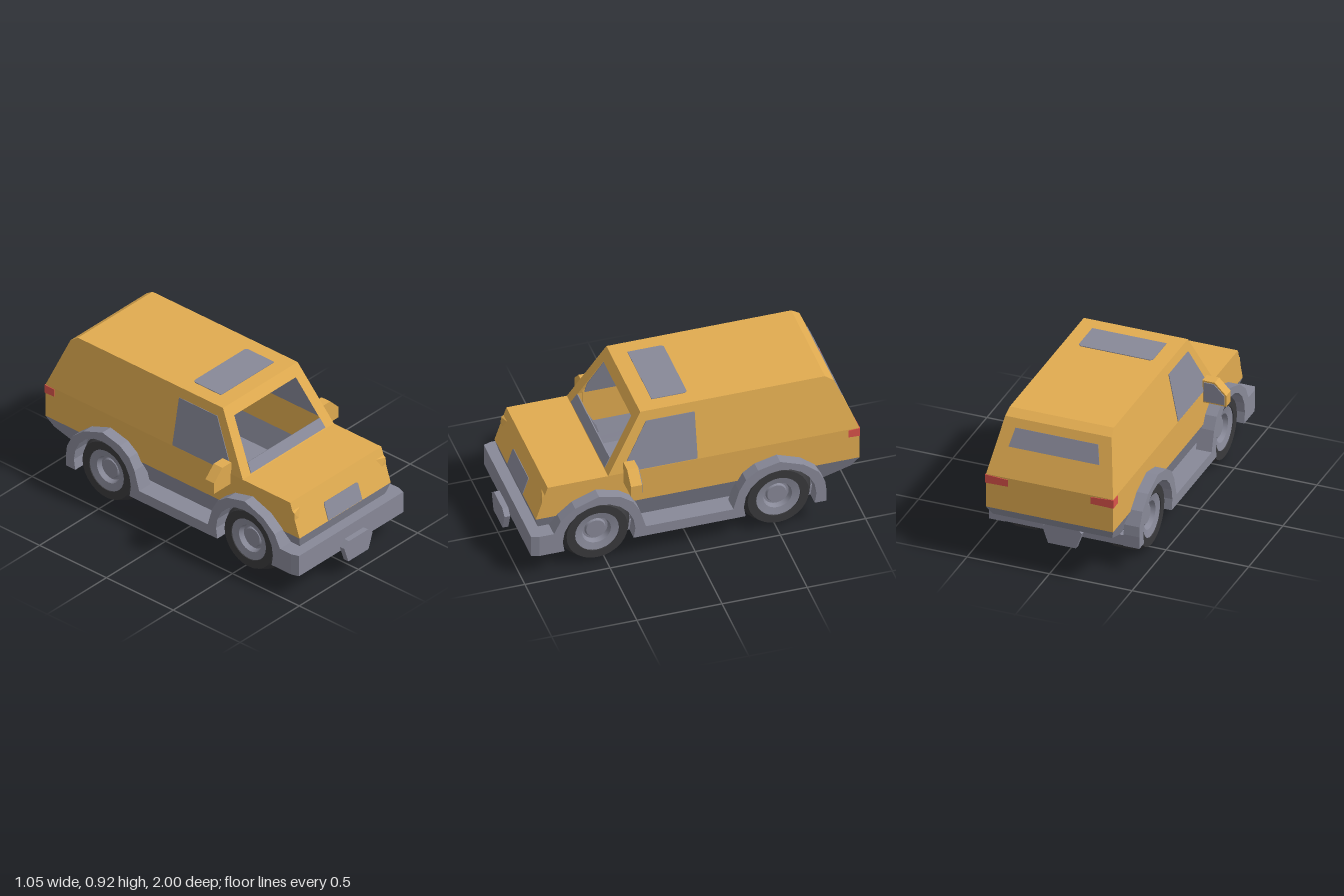
import * as THREE from 'three';
import { toCreasedNormals } from 'three/addons/utils/BufferGeometryUtils.js';
import { ConvexGeometry } from 'three/addons/geometries/ConvexGeometry.js';

const mat = (name, color, side = THREE.FrontSide) => {
  const m = new THREE.MeshStandardMaterial({ color, side });
  m.name = name;
  return m;
};
const V = (x, y, z) => new THREE.Vector3(x, y, z);

// Thin shell from flat convex polygons
function sheet(polys) {
  const pos = [];
  for (const p of polys)
    for (let i = 1; i < p.length - 1; i++)
      for (const v of [p[0], p[i], p[i + 1]]) pos.push(v.x, v.y, v.z);
  const g = new THREE.BufferGeometry();
  g.setAttribute('position', new THREE.Float32BufferAttribute(pos, 3));
  g.computeVertexNormals();
  return g;
}
// Same polygon on the other side, winding kept outward
const flip = (p) => p.map((v) => V(-v.x, v.y, v.z)).reverse();
// Panel spanning the width between two profile points [z, y, halfWidth]
const span = ([z0, y0, w0], [z1, y1, w1]) => [V(-w0, y0, z0), V(w0, y0, z0), V(w1, y1, z1), V(-w1, y1, z1)];

// Thin plate lying on a plane, showing on both faces of the shell
function plate(points) {
  const n = points[1].clone().sub(points[0]).cross(points[2].clone().sub(points[0])).normalize();
  return new ConvexGeometry(points.flatMap((p) => [p.clone().addScaledVector(n, 0.004), p.clone().addScaledVector(n, -0.004)]));
}
const shapeOf = (pts) => new THREE.Shape(pts.map(([x, y]) => new THREE.Vector2(x, y)));
const extrude = (shape, depth) => new THREE.ExtrudeGeometry(shape, { depth, bevelEnabled: false });

export function createModel() {
  const yellow = mat('yellow paint', 0xe0ab50, THREE.DoubleSide);
  const grey = mat('grey trim', 0x888998, THREE.DoubleSide);
  const black = mat('tire rubber', 0x39393c);
  const red = mat('red lamp', 0xd9524a);
  const root = new THREE.Group();
  const add = (name, geo, material, parent = root) => {
    const m = new THREE.Mesh(geo, material);
    m.name = name;
    parent.add(m);
    return m;
  };

  // Plane rules of the shell
  const sideX = (y) => 0.385 - Math.max(0, y - 0.56) * 0.197;
  const shieldZ = (y) => 0.475 - (y - 0.56) * 0.592;
  const noseZ = (y) => 0.9 - (y - 0.35) / 3;
  const onSide = ([z, y]) => V(sideX(y), y, z);

  // Painted body, open at the windshield
  const profile = [[0.9, 0.35], [0.83, 0.56], [0.475, 0.56], [0.265, 0.915], [-0.82, 0.915], [-0.87, 0.88], [-1, 0.56], [-1, 0.35]]
    .map(([z, y]) => [z, y, sideX(y)]);
  const body = [];
  for (let i = 0; i < profile.length - 1; i++) if (i !== 2) body.push(span(profile[i], profile[i + 1]));
  const lowerSide = [0, 7, 6, 1].map((i) => onSide(profile[i]));
  const upperSide = [2, 6, 5, 4, 3].map((i) => onSide(profile[i]));
  for (const p of [lowerSide, upperSide]) body.push(p, flip(p));
  const shield = (x, y) => V(x, y, shieldZ(y));
  const outer = [shield(-0.385, 0.56), shield(0.385, 0.56), shield(0.315, 0.915), shield(-0.315, 0.915)];
  const inner = [shield(-0.305, 0.622), shield(0.305, 0.622), shield(0.26, 0.855), shield(-0.26, 0.855)];
  for (let i = 0; i < 4; i++) {
    const j = (i + 1) % 4;
    body.push([outer[i], outer[j], inner[j], inner[i]]);
  }
  add('body', sheet(body), yellow);

  // Grey lower body, tapering down to the chassis
  const low = [[0.86, 0.21, 0.335], [0.88, 0.28, 0.36], [0.9, 0.35, 0.385], [-1, 0.35, 0.385], [-0.955, 0.285, 0.362], [-0.79, 0.215, 0.337]];
  const lowSide = low.map(([z, y, x]) => V(x, y, z)).reverse();
  add('lowerBody', sheet([
    lowSide, flip(lowSide),
    ...[[0, 1], [1, 2], [3, 4], [4, 5]].map(([a, b]) => span(low[a], low[b])),
  ]), grey);

  // Chassis floor and front bumper
  const floor = add('chassis', new THREE.BoxGeometry(0.75, 0.065, 1.66), grey);
  floor.position.set(0, 0.1775, 0.05);
  const bumperGeo = extrude(shapeOf([[-0.455, -0.78], [-0.455, -0.9], [-0.44, -0.945], [0.44, -0.945], [0.455, -0.9], [0.455, -0.78]]), 0.135);
  bumperGeo.rotateX(-Math.PI / 2);
  add('frontBumper', bumperGeo, grey).position.y = 0.145;

  // Fender and sill outline, with both wheel openings cut from below
  const wheelZ = [0.55, -0.513];
  const arch = [[0.265, 0.07], [0.225, 0.15], [0.14, 0.22], [0, 0.272], [-0.13, 0.24], [-0.2, 0.19], [-0.24, 0.12], [-0.275, 0]];
  const outline = [[0.9, 0.145], [0.9, 0.28]];
  for (const [z, y] of arch) outline.push([wheelZ[0] + z, 0.21 + y]);
  for (const [z, y] of [...arch].reverse()) outline.push([wheelZ[1] - z, 0.21 + y]);
  outline.push([-0.785, 0.22], [-0.785, 0.145]);
  for (const c of [...wheelZ].reverse())
    for (let i = 0; i <= 12; i++) {
      const a = Math.PI + 0.31 - (i / 12) * (Math.PI + 0.62);
      outline.push([c + 0.213 * Math.cos(a), 0.21 + 0.213 * Math.sin(a)]);
    }
  const fenderGeo = extrude(shapeOf(outline), 0.095);
  fenderGeo.rotateY(-Math.PI / 2).scale(1, 1, 1);

  // Wheel profiles as [radius, distance out from the centre line]
  const spin = (pts) => toCreasedNormals(
    new THREE.LatheGeometry(pts.map(([r, x]) => new THREE.Vector2(r, x)), 28).rotateZ(-Math.PI / 2), 0.5);
  const tireGeo = spin([[0, 0.175], [0.18, 0.175], [0.21, 0.245], [0.21, 0.355], [0.18, 0.42], [0.13, 0.42], [0.125, 0.39]]);
  const rimGeo = spin([[0.131, 0.39], [0.131, 0.415], [0.085, 0.405], [0.075, 0.375], [0.062, 0.375], [0.055, 0.388], [0, 0.388]]);

  // Mirror housing outline
  const mirrorGeo = extrude(shapeOf([[0.38, 0.495], [0.525, 0.495], [0.525, 0.565], [0.455, 0.635], [0.38, 0.635]]), 0.065);

  // Parts repeated on both sides
  for (const [name, s] of [['left', 1], ['right', -1]]) {
    const side = new THREE.Group();
    side.name = name + 'Side';
    side.scale.x = s;
    root.add(side);
    add('fender', fenderGeo, grey, side).position.x = 0.455;
    for (const z of wheelZ) {
      const wheel = new THREE.Group();
      wheel.name = z > 0 ? 'frontWheel' : 'rearWheel';
      wheel.position.set(0, 0.21, z);
      side.add(wheel);
      add('tire', tireGeo, black, wheel);
      add('rim', rimGeo, grey, wheel);
    }
    add('sideWindow', plate([[0.375, 0.565], [-0.05, 0.565], [-0.05, 0.855], [0.235, 0.855], [0.36, 0.635]].map(onSide)), grey, side);
    add('mirror', mirrorGeo, yellow, side).position.z = 0.32;
    add('mirrorGlass', plate([V(0.39, 0.505, 0.318), V(0.515, 0.505, 0.318), V(0.515, 0.562, 0.318), V(0.452, 0.625, 0.318), V(0.39, 0.625, 0.318)]), grey, side);
    add('tailLampSide', plate([[-0.935, 0.508], [-1.003, 0.505], [-1.003, 0.558], [-0.935, 0.555]].map(onSide)), red, side);
    add('tailLampBack', plate([V(0.385, 0.505, -1), V(0.25, 0.508, -1), V(0.25, 0.55, -1), V(0.385, 0.558, -1)]), red, side);
    // Small wedge at the nose corner
    add('noseCorner', new ConvexGeometry([
      V(0.32, 0.51, noseZ(0.51)), V(0.385, 0.51, noseZ(0.51)), V(0.35, 0.458, noseZ(0.458)),
      V(0.385, 0.458, noseZ(0.458)), V(0.385, 0.5, noseZ(0.5) + 0.012),
    ]), yellow, side);
  }

  // Grey panels on the shell
  const nose = (x, y) => V(x, y, noseZ(y));
  add('grille', plate([nose(-0.143, 0.353), nose(0.143, 0.353), nose(0.143, 0.45), nose(0.135, 0.458), nose(-0.135, 0.458), nose(-0.143, 0.45)]), grey);
  add('windshieldStrip', plate([shield(-0.314, 0.566), shield(0.314, 0.566), shield(0.304, 0.622), shield(-0.304, 0.622)]), grey);
  add('roofHatch', plate([V(-0.225, 0.915, 0.17), V(0.225, 0.915, 0.17), V(0.225, 0.915, -0.025), V(0.212, 0.915, -0.04), V(-0.212, 0.915, -0.04), V(-0.225, 0.915, -0.025)]), grey);
  const back = (x, y, off = 0) => V(x, y, -1 + (y - 0.56) * 0.406 + off);
  add('rearWindow', plate([back(0.275, 0.725), back(-0.275, 0.725), back(-0.25, 0.83), back(0.25, 0.83)]), grey);
  add('rearWindowLining', plate([back(0.31, 0.742, 0.008), back(-0.31, 0.742, 0.008), back(-0.3, 0.865, 0.008), back(0.3, 0.865, 0.008)]), grey);

  // Small hexagonal plates at both ends
  const tagGeo = extrude(shapeOf([[-0.085, 0.095], [0.085, 0.095], [0.12, 0.195], [0.08, 0.228], [-0.08, 0.228], [-0.12, 0.195]]), 0.034);
  add('frontPlate', tagGeo, grey).position.z = 0.966;
  add('rearPlate', tagGeo, grey).position.set(0, -0.01, -0.817);

  return root;
}
